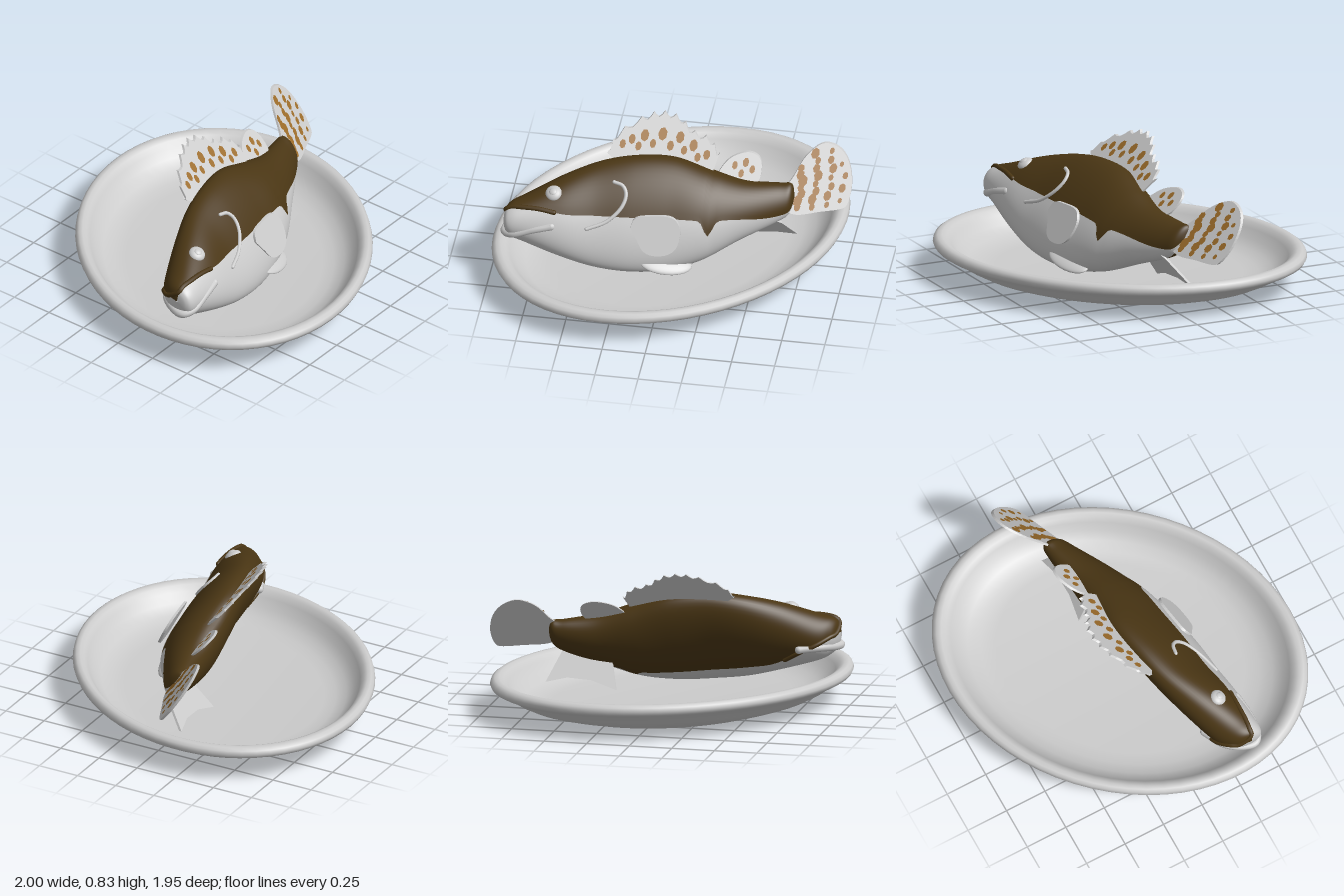
import * as THREE from 'three';
import { mergeGeometries, toCreasedNormals } from 'three/addons/utils/BufferGeometryUtils.js';

const mat = (color) => new THREE.MeshStandardMaterial({ color, side: THREE.DoubleSide });
const grey = mat(0xcccccc), brown = mat(0x4a3614), ochre = mat(0x9c6c2a);
const ROLL = 0.6, RAD = Math.PI / 180;

// Body stations: x, centre y, centre z, half height, half width, colour-line angle
const STATIONS = [
  [-0.922, 0.4, 0.365, 0.004, 0.004, 45], [-0.912, 0.395, 0.36, 0.062, 0.06, 45],
  [-0.88, 0.385, 0.345, 0.104, 0.1, 38], [-0.8, 0.378, 0.315, 0.142, 0.13, 24],
  [-0.6, 0.385, 0.27, 0.235, 0.143, 2], [-0.4, 0.385, 0.225, 0.305, 0.138, -2],
  [-0.2, 0.385, 0.19, 0.335, 0.14, -4], [0, 0.375, 0.145, 0.327, 0.148, -5],
  [0.2, 0.36, 0.1, 0.265, 0.152, -8], [0.4, 0.367, 0.035, 0.175, 0.12, -18],
  [0.6, 0.39, -0.04, 0.115, 0.075, -45], [0.67, 0.41, -0.065, 0.085, 0.05, -60],
  [0.69, 0.415, -0.07, 0.004, 0.004, -60],
];
const tracks = [1, 2, 3, 4, 5].map((k) =>
  new THREE.SplineCurve(STATIONS.map((s) => new THREE.Vector2(s[0], s[k]))));

function section(u) {
  const p = tracks.map((c) => c.getPoint(u));
  const [cy, cz, a, b, line] = p.map((q) => q.y);
  const x = p[0].x;
  const dip = 22 * Math.exp(-(((x - 0.24) / 0.03) ** 2)); // dark bar on the flank
  const nearLine = (line - dip) * RAD;
  const farLine = Math.PI - nearLine + 0.45 * THREE.MathUtils.smoothstep(x, -0.9, -0.5);
  return { x, cy, cz, a: Math.max(a, 0.003), b: Math.max(b, 0.003), nearLine, farLine };
}

function sectionAt(x) {
  let lo = 0, hi = 1;
  for (let i = 0; i < 24; i++) {
    const m = (lo + hi) / 2;
    if (tracks[0].getPoint(m).x < x) lo = m; else hi = m;
  }
  return section(lo);
}

// Point on the rolled oval section; t runs from the near flank over the back
function onSection(s, t, off = 0) {
  const v = (s.a + off) * Math.sin(t), w = (s.b + off) * Math.cos(t);
  return new THREE.Vector3(s.x,
    s.cy + v * Math.cos(ROLL) + w * Math.sin(ROLL),
    s.cz - v * Math.sin(ROLL) + w * Math.cos(ROLL));
}

function bodyPart(from, to) {
  const rows = 120, cols = 32, pos = [], idx = [];
  for (let i = 0; i <= rows; i++) {
    const s = section(i / rows);
    for (let j = 0; j <= cols; j++) {
      const t = THREE.MathUtils.lerp(from(s), to(s), j / cols);
      pos.push(...onSection(s, t).toArray());
      if (i < rows && j < cols) {
        const a = i * (cols + 1) + j, b = a + cols + 1;
        idx.push(a, b, a + 1, b, b + 1, a + 1);
      }
    }
  }
  const g = new THREE.BufferGeometry();
  g.setAttribute('position', new THREE.Float32BufferAttribute(pos, 3));
  g.setIndex(idx);
  g.computeVertexNormals();
  return g;
}

// Shear a flat geometry so that its depth follows plane(x, y)
function lean(g, plane) {
  const p = g.attributes.position;
  for (let i = 0; i < p.count; i++) p.setZ(i, p.getZ(i) + plane(p.getX(i), p.getY(i)));
  g.computeVertexNormals();
  return g;
}

function finGeometry(pts, plane, smooth = false) {
  let v = pts.map(([x, y]) => new THREE.Vector2(x, y));
  if (smooth) v = new THREE.SplineCurve([...v, v[0]]).getPoints(56);
  return lean(new THREE.ExtrudeGeometry(new THREE.Shape(v),
    { depth: 0.016, bevelEnabled: false }), plane);
}

function spotGeometry(spots, plane) {
  return mergeGeometries(spots.map(([x, y, r], i) => {
    const g = new THREE.CircleGeometry(r, 7);
    g.rotateZ(i).scale(1, 1.1, 1).translate(x, y, 0.02);
    return lean(g, plane);
  }));
}

function tube(pts, radius) {
  const curve = new THREE.CatmullRomCurve3(pts);
  const ends = [pts[0], pts[pts.length - 1]].map((p) =>
    new THREE.SphereGeometry(radius, 10, 8).translate(p.x, p.y, p.z));
  return mergeGeometries([new THREE.TubeGeometry(curve, 48, radius, 10), ...ends]);
}
const vecs = (list) => list.map((p) => new THREE.Vector3(...p));

export function createModel() {
  const model = new THREE.Group();
  const fish = new THREE.Group();
  fish.name = 'fish';
  const add = (parent, name, geometry, material = grey) => {
    const m = new THREE.Mesh(geometry, material);
    m.name = name;
    parent.add(m);
    return m;
  };

  // Oval serving plate with a rounded rim
  const profile = [[0, 0], [0.6, 0], [0.615, 0.006], [0.635, 0.017], [0.72, 0.032], [0.8, 0.057], [0.87, 0.093],
    [0.93, 0.145], [0.97, 0.15], [0.99, 0.162], [1, 0.183], [0.993, 0.205], [0.975, 0.218],
    [0.95, 0.22], [0.925, 0.208], [0.9, 0.178], [0.865, 0.13], [0.81, 0.09], [0.74, 0.067], [0.66, 0.06], [0, 0.06]];
  const dish = new THREE.LatheGeometry(profile.map(([r, y]) => new THREE.Vector2(r, y)), 64);
  dish.scale(1.098, 1, 0.848);
  const plate = add(model, 'plate', toCreasedNormals(dish, 0.95));
  plate.rotation.y = 0.76;
  plate.position.x = -0.014;

  // Body: dark back and pale belly meet along the colour line
  add(fish, 'back', bodyPart((s) => s.nearLine, (s) => s.farLine), brown);
  add(fish, 'belly', bodyPart((s) => s.farLine, (s) => 2 * Math.PI + s.nearLine));

  // Lips
  const lipXs = [-0.63, -0.72, -0.81, -0.88, -0.908];
  const near = lipXs.map((x) => { const s = sectionAt(x); return onSection(s, s.nearLine); });
  const far = lipXs.map((x) => { const s = sectionAt(x); return onSection(s, s.farLine); });
  add(fish, 'upperLip', tube([...near, ...far.reverse()], 0.014), brown);
  add(fish, 'lowerLip', tube(vecs([[-0.64, 0.4, 0.415], [-0.75, 0.375, 0.43], [-0.86, 0.335, 0.43],
    [-0.912, 0.322, 0.395], [-0.9, 0.325, 0.32], [-0.84, 0.335, 0.23], [-0.72, 0.33, 0.165]]), 0.024));

  // Eye
  const eyeSection = sectionAt(-0.645);
  const seat = onSection(eyeSection, 38 * RAD, -0.008);
  const eye = new THREE.Group();
  eye.name = 'eye';
  add(eye, 'eyeball', new THREE.SphereGeometry(0.048, 24, 16).scale(1, 1, 0.6));
  add(eye, 'pupil', new THREE.SphereGeometry(0.024, 16, 12).scale(1, 1, 0.5).translate(0, 0, 0.021));
  eye.position.copy(seat);
  eye.lookAt(seat.x - 0.1, seat.y + 1, seat.z + 0.55);
  fish.add(eye);

  // Gill edge, laid on the near flank
  const gill = [[-0.31, 34], [-0.26, 29], [-0.235, 20], [-0.25, 7], [-0.33, -8], [-0.44, -17]]
    .map(([x, t]) => onSection(sectionAt(x), t * RAD, 0.002));
  add(fish, 'gillEdge', tube(gill, 0.011));

  // Tail fin
  const tailPlane = (x, y) => -0.075 - 0.45 * (x - 0.67) - 0.73 * (y - 0.42);
  add(fish, 'tailFin', finGeometry([[0.62, 0.46], [0.67, 0.51], [0.73, 0.6], [0.81, 0.648], [0.88, 0.635],
    [0.94, 0.59], [0.98, 0.52], [0.998, 0.43], [0.985, 0.35], [0.95, 0.328], [0.84, 0.33], [0.7, 0.335],
    [0.62, 0.39]], tailPlane, true));
  const tailSpots = [];
  [[0.71, 0.37, 0.55, 7], [0.79, 0.36, 0.61, 8], [0.87, 0.36, 0.61, 7], [0.94, 0.37, 0.54, 4]]
    .forEach(([x, y0, y1, n], k) => {
      for (let i = 0; i < n; i++) {
        const f = i / (n - 1);
        tailSpots.push([x + 0.02 * Math.sin(f * 3) - 0.01 * (i % 2),
          y0 + (y1 - y0) * f, 0.022 - 0.002 * k + 0.004 * ((i * 2) % 3 - 1)]);
      }
    });
  add(fish, 'tailSpots', spotGeometry(tailSpots, tailPlane), ochre);

  // Spiny dorsal fin with a scalloped edge
  const dorsalPlane = (x, y) => -0.045 - 0.18 * x - 0.95 * (y - 0.63);
  const crest = new THREE.SplineCurve([[-0.38, 0.65], [-0.33, 0.735], [-0.2, 0.8], [-0.1, 0.82], [0, 0.8],
    [0.09, 0.74], [0.19, 0.705], [0.25, 0.64]].map(([x, y]) => new THREE.Vector2(x, y)));
  const edge = [];
  for (let i = 0; i <= 44; i++) {
    const p = crest.getPoint(i / 44);
    edge.push([p.x, p.y + [0.012, -0.004, -0.012, -0.004][i % 4]]);
  }
  add(fish, 'dorsalFin', finGeometry([...edge, [0.22, 0.56], [0.1, 0.58], [-0.1, 0.6], [-0.3, 0.6]], dorsalPlane));
  const dorsalSpots = [[-0.3, 0.7, 0.018], [-0.25, 0.72, 0.02], [-0.18, 0.735, 0.024], [-0.08, 0.74, 0.026],
    [0.02, 0.725, 0.024], [0.1, 0.69, 0.024], [0.18, 0.65, 0.02], [-0.21, 0.69, 0.018], [-0.13, 0.7, 0.018],
    [-0.03, 0.69, 0.02], [0.05, 0.67, 0.018], [0.13, 0.64, 0.018]];
  add(fish, 'dorsalSpots', spotGeometry(dorsalSpots, dorsalPlane), ochre);

  // Soft second dorsal fin
  const softPlane = (x, y) => -0.07 - 0.23 * (x - 0.35) - (y - 0.53);
  add(fish, 'softDorsalFin', finGeometry([[0.25, 0.55], [0.29, 0.595], [0.34, 0.62], [0.41, 0.63], [0.47, 0.608],
    [0.492, 0.56], [0.47, 0.5], [0.35, 0.5]], softPlane, true));
  add(fish, 'softDorsalSpots', spotGeometry([[0.34, 0.58, 0.016], [0.4, 0.59, 0.018], [0.44, 0.56, 0.016],
    [0.38, 0.545, 0.016]], softPlane), ochre);

  // Pectoral fin standing off the near flank
  add(fish, 'pectoralFin', finGeometry([[-0.19, 0.41], [-0.165, 0.46], [-0.08, 0.47], [0.04, 0.462],
    [0.092, 0.4], [0.08, 0.31], [0.03, 0.27], [-0.05, 0.265], [-0.11, 0.29], [-0.15, 0.35]],
  (x, y) => 0.355 - 0.17 * (x + 0.05) - 0.5 * (y - 0.365), true));

  // Pelvic fin resting on the plate
  const pelvic = add(fish, 'pelvicFin', new THREE.SphereGeometry(1, 24, 16).scale(0.155, 0.022, 0.075));
  pelvic.position.set(0.01, 0.16, 0.335);
  pelvic.rotation.set(0.5, 0.15, -0.3);

  // Two-pointed anal fin folded beneath the tail
  add(fish, 'analFin', finGeometry([[0.34, 0.25], [0.58, 0.33], [0.63, 0.29], [0.7, 0.13], [0.58, 0.155],
    [0.44, 0.145], [0.29, 0.1]], (x, y) => 0.01 + 0.75 * (y - 0.28) - 0.1 * (x - 0.5)));

  model.add(fish);
  return model;
}
